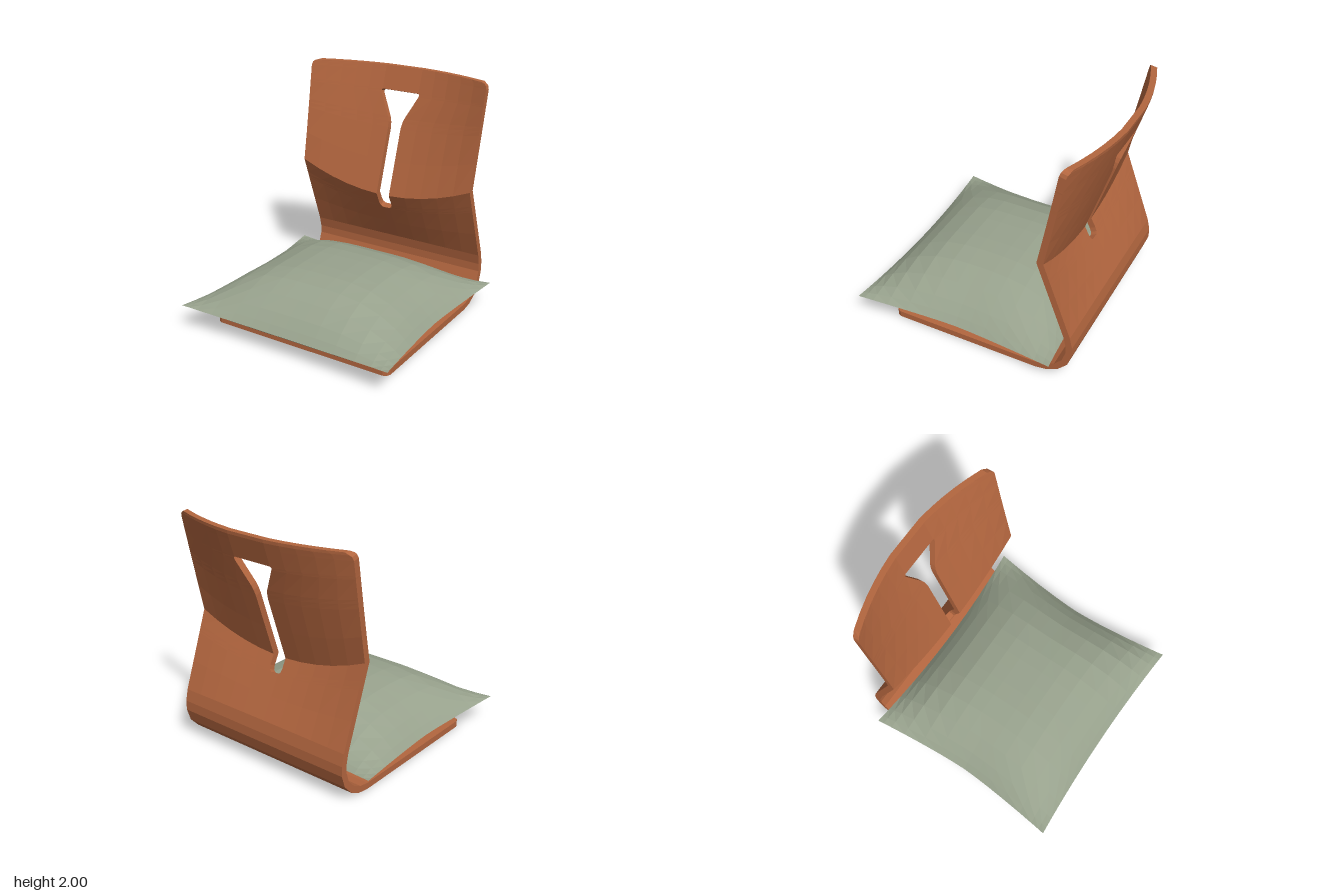
import * as THREE from 'three';

const wood = new THREE.MeshStandardMaterial({ color: 0xb3663f, flatShading: true });
wood.name = 'terracotta plywood';
const fabric = new THREE.MeshStandardMaterial({ color: 0x98a28d, flatShading: true });
fabric.name = 'sage fabric';

// Collects quads (counter-clockwise corners) into a flat-shaded geometry
function quadBuilder() {
  const pos = [];
  return {
    quad(a, b, c, d) { for (const p of [a, b, c, a, c, d]) pos.push(...p); },
    build() {
      const g = new THREE.BufferGeometry();
      g.setAttribute('position', new THREE.Float32BufferAttribute(pos, 3));
      g.computeVertexNormals();
      return g;
    },
  };
}

// ---- Bent plywood shell: seat, rounded bend, lumbar crease, curved backrest ----
const THICK = 0.055, HALF = 0.845;
const bend = [[-0.6, 0.055], [-0.69, 0.07], [-0.77, 0.11], [-0.835, 0.18], [-0.865, 0.27], [-0.865, 0.34], [-0.845, 0.43]];
const creaseY = x => 0.91 + 0.19 * (x / 0.85) ** 2;
const topZ = x => -0.957 + 0.17 * (x / 0.85) ** 2;

// Each row: at(x) gives [z, y] on the front face, w = half width, h = half slot width
function shellRows() {
  const rows = [];
  const slab = (z, y, w = HALF) => rows.push({ at: () => [z, y], w, h: 0.035 });
  for (const [z, w] of [[0.73, 0.8], [0.715, 0.83], [0.685, HALF], [0, HALF]]) slab(z, 0.055, w);
  bend.forEach(([z, y]) => slab(z, y));
  const [z0, y0] = bend[bend.length - 1];
  // lower back, leaning forward up to the crease: [centre height, slot half width, in slot]
  for (const [y, h, open] of [[0.6, 0.035], [0.765, 0.035, 1], [0.78, 0.055, 1], [0.81, 0.063, 1], [0.91, 0.063, 1]]) {
    const t = (y - y0) / (0.91 - y0);
    rows.push({ at: x => [z0 + (-0.6 - z0) * t, y0 + (creaseY(x) - y0) * t], w: HALF, h, open });
  }
  // backrest, leaning backward: [centre height, slot half width, in slot, half width]
  const upper = [
    [1.2, 0.063, 1, 0.85], [1.48, 0.063, 1, 0.856], [1.53, 0.07, 1, 0.857], [1.57, 0.083, 1, 0.858],
    [1.765, 0.186, 1, 0.862], [1.782, 0.192, 1, 0.863], [1.795, 0.18, 0, 0.863],
    [1.94, 0.18, 0, 0.866], [1.975, 0.18, 0, 0.857], [1.99, 0.18, 0, 0.842], [2, 0.18, 0, 0.81],
  ];
  for (const [y, h, open, w] of upper) {
    const t = (y - 0.91) / 1.09;
    rows.push({ at: x => [-0.6 + (topZ(x) + 0.6) * t, creaseY(x) + (2 - creaseY(x)) * t], w, h, open });
  }
  return rows;
}

function shellGeometry() {
  const rows = shellRows(), N = 5, cols = 2 * N + 1, last = rows.length - 1;
  const normal = (a, b) => {
    const dz = b[0] - a[0], dy = b[1] - a[1], l = Math.hypot(dz, dy);
    return [-dy / l, dz / l];
  };
  const front = [], back = [];
  rows.forEach((row, i) => {
    front.push([]); back.push([]);
    for (let j = 0; j <= cols; j++) {
      const k = j <= N ? j : cols - j;
      const x = (j <= N ? -1 : 1) * (row.w - (row.w - row.h) * k / N);
      const p = row.at(x);
      // mitred offset through the thickness
      const n1 = normal(rows[Math.max(i - 1, 0)].at(x), i ? p : rows[1].at(x));
      const n2 = i < last ? normal(p, rows[i + 1].at(x)) : n1;
      const s = THICK / (1 + n1[0] * n2[0] + n1[1] * n2[1]);
      const z = p[0] + (n1[0] + n2[0]) * s, y = p[1] + (n1[1] + n2[1]) * s;
      front[i].push([x, p[1], p[0]]);
      back[i].push([x, i === last ? 2 : y, z]);
    }
  });
  const solid = (i, j) => i >= 0 && i < last && j >= 0 && j < cols && !(j === N && rows[i].open);
  const q = quadBuilder();
  for (let i = 0; i < last; i++) for (let j = 0; j < cols; j++) {
    if (!solid(i, j)) continue;
    const ring = [[i, j], [i, j + 1], [i + 1, j + 1], [i + 1, j]];
    const f = ring.map(([r, c]) => front[r][c]), b = ring.map(([r, c]) => back[r][c]);
    q.quad(...f);
    q.quad(b[3], b[2], b[1], b[0]);
    // walls along the rim and around the slot
    [[i - 1, j], [i, j + 1], [i + 1, j], [i, j - 1]].forEach(([r, c], e) => {
      const n = (e + 1) % 4;
      if (!solid(r, c)) q.quad(f[n], f[e], b[e], b[n]);
    });
  }
  return q.build();
}

// ---- Cushion: two domed skins meeting at a pinched seam ----
function cushionGeometry() {
  const half = [0.14, 0.3, 0.5, 0.7, 0.85, 0.94, 1];
  const steps = [...half.map(v => -v).reverse(), 0, ...half];
  const point = (u, v, side) => {
    const au = Math.abs(u), av = Math.abs(v);
    const p = side > 0 ? 3.2 : 5;
    const dome = (1 - au ** p) * (1 - av ** p);
    const seam = 0.225 - 0.025 * (1 - (au * av) ** 2);
    const x = u * (0.915 + 0.08 * av ** 1.5);
    const z = 0.1 + v * (v > 0 ? 0.855 + 0.04 * au ** 2 : 0.84 + 0.05 * au ** 2);
    return [x, seam + (side > 0 ? 0.317 : -0.145) * dome, z];
  };
  const q = quadBuilder();
  for (const side of [1, -1]) {
    for (let i = 0; i < steps.length - 1; i++) for (let j = 0; j < steps.length - 1; j++) {
      const [u0, u1, v0, v1] = [steps[i], steps[i + 1], steps[j], steps[j + 1]];
      const c = [[u0, v1], [u1, v1], [u1, v0], [u0, v0]].map(([u, v]) => point(u, v, side));
      q.quad(...(side > 0 ? c : c.reverse()));
    }
  }
  return q.build();
}

export function createModel() {
  const group = new THREE.Group();
  group.name = 'legless floor chair';
  const shell = new THREE.Mesh(shellGeometry(), wood);
  shell.name = 'seatAndBackShell';
  const cushion = new THREE.Mesh(cushionGeometry(), fabric);
  cushion.name = 'cushion';
  group.add(shell, cushion);
  return group;
}
